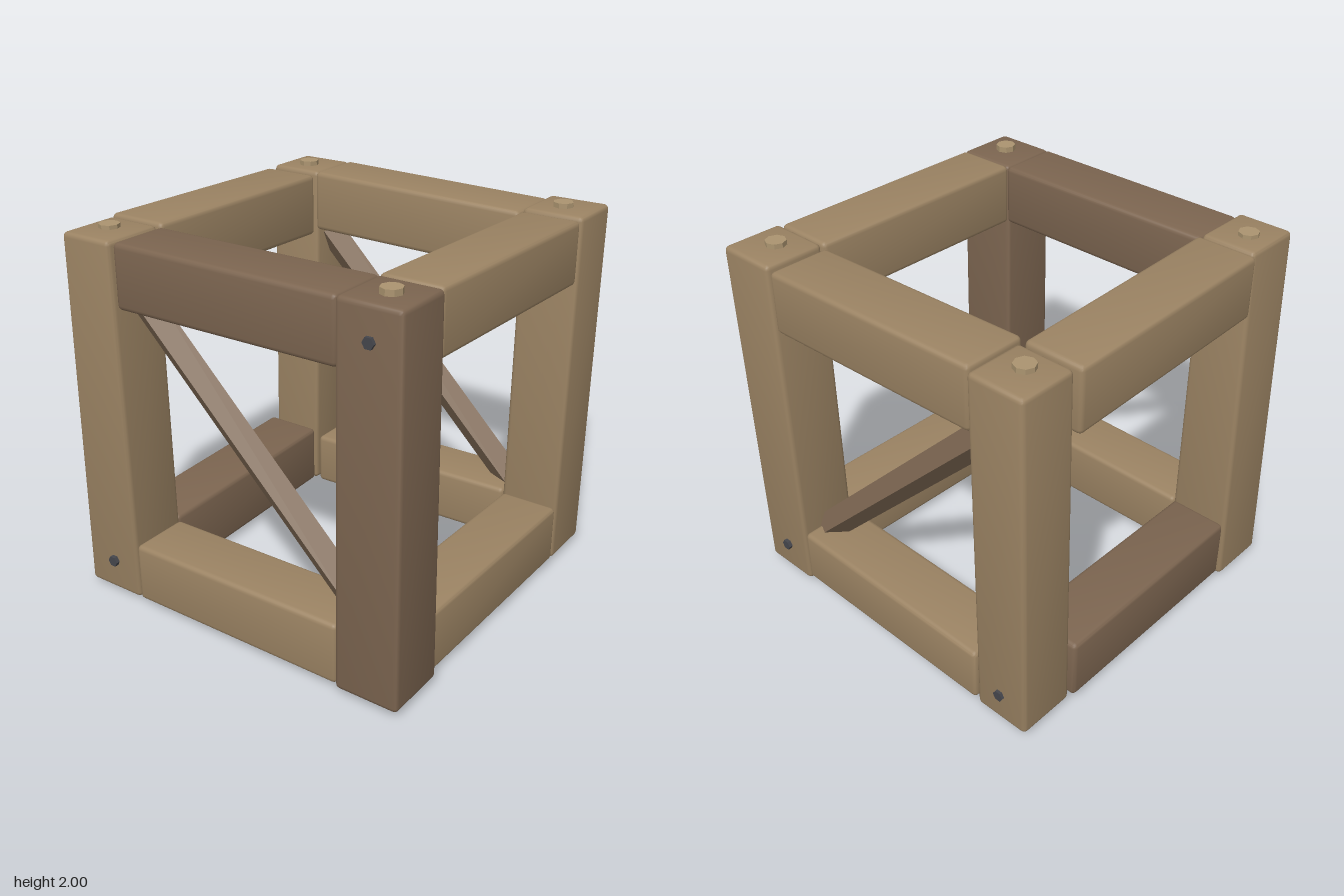
import * as THREE from 'three';
import { RoundedBoxGeometry } from 'three/addons/geometries/RoundedBoxGeometry.js';
import { toCreasedNormals } from 'three/addons/utils/BufferGeometryUtils.js';

const material = (color) => new THREE.MeshStandardMaterial({ color });
const wood = material(0x9b8363);
const darkWood = material(0x7c6550);
const braceWood = material(0x7e6853);
const peg = material(0xab9470);
const iron = material(0x45464c);

// Each axis is followed by the two axes of its cross-section
const AXES = { x: ['x', 'y', 'z'], y: ['y', 'x', 'z'], z: ['z', 'x', 'y'] };

// Rough-hewn timber: a rounded box whose two end sections [u0, u1, v0, v1] differ a little
function timber(name, axis, from, to, startSection, endSection, mat = wood) {
  const [a, u, v] = AXES[axis];
  const size = new THREE.Vector3();
  size[a] = to - from;
  size[u] = startSection[1] - startSection[0];
  size[v] = startSection[3] - startSection[2];
  const geometry = new RoundedBoxGeometry(size.x, size.y, size.z, 2, 0.025);
  const pos = geometry.attributes.position;
  const p = new THREE.Vector3();
  const lerp = THREE.MathUtils.lerp;
  for (let i = 0; i < pos.count; i++) {
    p.fromBufferAttribute(pos, i);
    const t = p[a] / size[a] + 0.5;
    const fu = p[u] / size[u] + 0.5;
    const fv = p[v] / size[v] + 0.5;
    const s = startSection.map((value, k) => lerp(value, endSection[k], t));
    p[a] = lerp(from, to, t);
    p[u] = lerp(s[0], s[1], fu);
    p[v] = lerp(s[2], s[3], fv);
    pos.setXYZ(i, p.x, p.y, p.z);
  }
  const mesh = new THREE.Mesh(toCreasedNormals(geometry, 0.6), mat);
  mesh.name = name;
  return mesh;
}

// Faceted bolt head
function bolt(name, radius, height, sides, mat) {
  const geometry = toCreasedNormals(new THREE.CylinderGeometry(radius, radius, height, sides), 0.3);
  const mesh = new THREE.Mesh(geometry, mat);
  mesh.name = name;
  return mesh;
}

export function createModel() {
  const group = new THREE.Group();

  // Corner posts, each leaning slightly: sections are x0, x1, z0, z1 at bottom and top
  group.add(
    timber('frontLeftPost', 'y', 0.03, 1.97, [0.63, 0.96, 0.64, 0.97], [0.65, 0.98, 0.645, 0.975]),
    timber('frontRightPost', 'y', 0.035, 1.965, [-0.99, -0.64, 0.64, 0.985], [-0.955, -0.625, 0.62, 0.955], darkWood),
    timber('backLeftPost', 'y', 0.035, 1.97, [0.64, 0.965, -0.96, -0.65], [0.67, 0.985, -0.955, -0.645]),
    timber('backRightPost', 'y', 0.02, 1.975, [-0.95, -0.61, -0.99, -0.64], [-0.985, -0.65, -0.93, -0.63])
  );

  // Beams across the width: sections are y0, y1, z0, z1
  group.add(
    timber('topFrontBeam', 'x', -0.63, 0.635, [1.64, 1.97, 0.62, 0.945], [1.63, 1.96, 0.65, 0.975]),
    timber('topBackBeam', 'x', -0.63, 0.635, [1.65, 1.98, -0.96, -0.625], [1.62, 1.96, -0.965, -0.64]),
    timber('bottomFrontBeam', 'x', -0.63, 0.63, [0.03, 0.365, 0.63, 0.95], [0.035, 0.355, 0.65, 0.97]),
    timber('bottomBackBeam', 'x', -0.63, 0.63, [0.02, 0.36, -0.965, -0.64], [0.045, 0.385, -0.98, -0.65], darkWood)
  );

  // Beams along the depth: sections are x0, x1, y0, y1
  group.add(
    timber('topLeftBeam', 'z', -0.635, 0.635, [0.63, 0.965, 1.65, 1.98], [0.635, 0.975, 1.625, 1.95]),
    timber('topRightBeam', 'z', -0.635, 0.63, [-0.955, -0.625, 1.635, 1.965], [-0.955, -0.62, 1.64, 1.965], darkWood),
    timber('bottomLeftBeam', 'z', -0.63, 0.64, [0.635, 0.96, 0.035, 0.335], [0.635, 0.96, 0.06, 0.36]),
    timber('bottomRightBeam', 'z', -0.63, 0.63, [-0.96, -0.63, 0.03, 0.35], [-0.965, -0.63, 0.03, 0.36])
  );

  // Diagonal braces, front bottom to back top, turned on their long axis
  for (const side of [1, -1]) {
    const brace = new THREE.Group();
    brace.name = side > 0 ? 'leftBrace' : 'rightBrace';
    const bar = new THREE.Mesh(new THREE.BoxGeometry(0.115, 1.84, 0.115), braceWood);
    bar.name = 'braceBar';
    bar.rotation.y = THREE.MathUtils.degToRad(-34);
    brace.add(bar);
    brace.rotation.x = -Math.PI / 4;
    brace.position.set(side * 0.8, 1 - side * 0.047, 0);
    group.add(brace);
  }

  // Peg heads on both ends of every post
  for (const x of [-0.8, 0.8]) {
    for (const z of [-0.8, 0.8]) {
      for (const y of [0.03, 1.965]) {
        const head = bolt('postPeg', 0.053, 0.06, 8, peg);
        head.position.set(x, y, z);
        group.add(head);
      }
    }
  }

  // Iron bolts on the outer sides
  for (const [x, y, z] of [[0.962, 0.2, 0.8], [0.962, 0.2, -0.8], [-0.955, 0.2, -0.8], [-0.955, 1.8, 0.8]]) {
    const head = bolt('sideBolt', 0.03, 0.04, 6, iron);
    head.rotation.z = Math.PI / 2;
    head.position.set(x, y, z);
    group.add(head);
  }

  return group;
}
